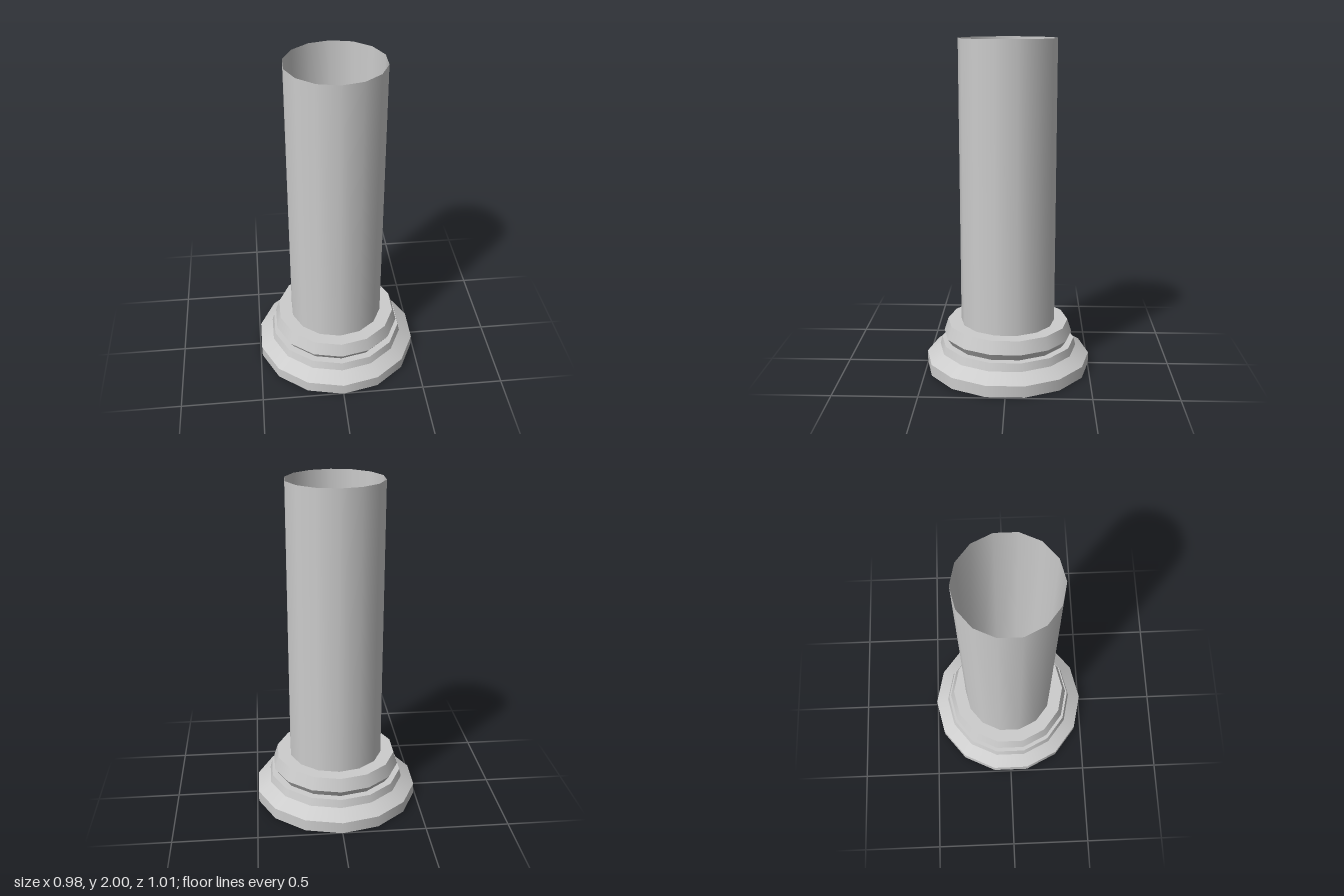
import * as THREE from 'three';

const SIDES = 14;

export function createModel() {
  const group = new THREE.Group();
  group.name = 'column';
  const stone = new THREE.MeshStandardMaterial({ color: 0xcccccc, side: THREE.DoubleSide });
  stone.name = 'grey stone';

  // Open shell, bottom to top: name, lower radius, lower y, upper radius, upper y.
  // Each band is its own mesh, so it is smooth around but sharp at its rims.
  const bands = [
    ['plinth', 0.503, 0, 0.503, 0.07],
    ['plinthSlope', 0.503, 0.07, 0.422, 0.122],
    ['lowerRing', 0.422, 0.122, 0.41, 0.17],
    ['lowerRingTop', 0.41, 0.17, 0.366, 0.17],
    ['neck', 0.366, 0.17, 0.395, 0.213],
    ['upperRing', 0.395, 0.213, 0.37, 0.29],
    ['upperRingTop', 0.37, 0.29, 0.288, 0.29],
    ['shaft', 0.288, 0.29, 0.288, 2],
  ];
  for (const [name, r0, y0, r1, y1] of bands) {
    const profile = [new THREE.Vector2(r0, y0), new THREE.Vector2(r1, y1)];
    const mesh = new THREE.Mesh(new THREE.LatheGeometry(profile, SIDES), stone);
    mesh.name = name;
    group.add(mesh);
  }
  return group;
}
